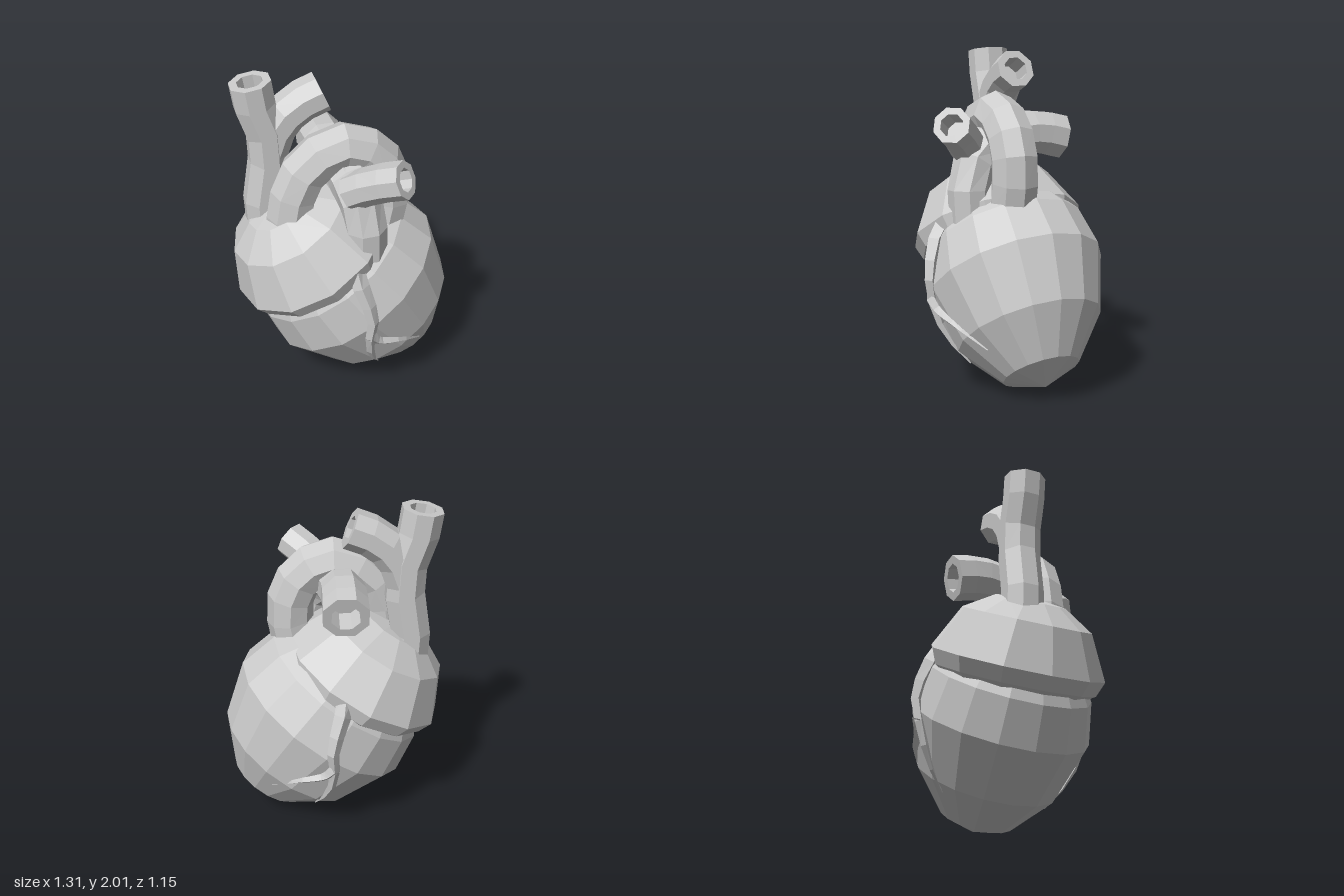
import * as THREE from 'three';

const material = new THREE.MeshStandardMaterial({ color: 0xcccccc, flatShading: true, side: THREE.DoubleSide });
const V = (p) => new THREE.Vector3(...p);

function addMesh(group, name, geometry) {
  const mesh = new THREE.Mesh(geometry, material);
  mesh.name = name;
  group.add(mesh);
  return mesh;
}

// Faceted tube through points; ref fixes the roll, hollow sinks a bore into the far end
function tube(points, radii, { sides = 8, ref = [0, 0, 1], turn = 0, steps = 6, hollow = false }) {
  const curve = new THREE.CatmullRomCurve3(points.map(V));
  const rings = [];
  for (let i = 0; i <= steps; i++) {
    const t = i / steps, k = t * (radii.length - 1), n = Math.min(Math.floor(k), radii.length - 2);
    const r = radii.length > 1 ? THREE.MathUtils.lerp(radii[n], radii[n + 1], k - n) : radii[0];
    rings.push({ c: curve.getPoint(t), T: curve.getTangent(t), r });
  }
  if (hollow) {
    const { c, T, r } = rings[steps];
    const deep = c.clone().addScaledVector(T, -0.14);
    rings.push({ c, T, r: r * 0.62 }, { c: deep, T, r: r * 0.62 }, { c: deep, T, r: 0 });
  }
  const pos = [], index = [];
  rings.forEach(({ c, T, r }, i) => {
    const N = V(ref).addScaledVector(T, -V(ref).dot(T)).normalize();
    const B = T.clone().cross(N);
    for (let j = 0; j < sides; j++) {
      const a = ((j + turn) / sides) * Math.PI * 2;
      const p = c.clone().addScaledVector(N, r * Math.cos(a)).addScaledVector(B, r * Math.sin(a));
      pos.push(p.x, p.y, p.z);
      if (i === 0) continue;
      const k = (j + 1) % sides, lo = (i - 1) * sides, hi = i * sides;
      index.push(lo + j, lo + k, hi + k, lo + j, hi + k, hi + j);
    }
  });
  const g = new THREE.BufferGeometry();
  g.setAttribute('position', new THREE.Float32BufferAttribute(pos, 3));
  g.setIndex(index);
  g.computeVertexNormals();
  return g;
}

// Ventricle profile [radius, distance from apex] along a leaning axis
const APEX = [0.47, 0.08], LEAN = 0.63, DEPTH = 0.9;
const PROFILE = [[0, 0], [0.25, 0.093], [0.476, 0.347], [0.594, 0.697], [0.54, 0.947], [0.36, 1.19], [0, 1.3]];

// Depth of the ventricle surface under a point seen from the front
function surfaceZ(x, y) {
  const dx = x - APEX[0], dy = y - APEX[1];
  const along = -dx * Math.sin(LEAN) + dy * Math.cos(LEAN);
  const across = dx * Math.cos(LEAN) + dy * Math.sin(LEAN);
  const i = Math.max(1, PROFILE.findIndex((p) => p[1] > along));
  const [r0, h0] = PROFILE[i - 1], [r1, h1] = PROFILE[i];
  const r = r0 + ((r1 - r0) * (along - h0)) / (h1 - h0);
  return DEPTH * Math.sqrt(Math.max(0, r * r - across * across));
}

const lathe = (profile, sides) =>
  new THREE.LatheGeometry(profile.map((p) => new THREE.Vector2(...p)), sides);

export function createModel() {
  const heart = new THREE.Group();
  heart.name = 'heart';

  // Main body, apex leaning to the model's left
  const ventricles = addMesh(heart, 'ventricles', lathe(PROFILE, 16));
  ventricles.position.set(...APEX, 0);
  ventricles.rotation.z = LEAN;
  ventricles.scale.z = DEPTH;

  // Upper cap with a bevelled rim overlapping the body
  const atria = addMesh(heart, 'atria',
    lathe([[0.4, -0.15], [0.49, -0.09], [0.525, 0], [0.39, 0.26], [0.21, 0.37], [0, 0.4]], 12));
  atria.position.set(-0.19, 0.92, 0);
  atria.rotation.z = 0.535;

  // Arch over the top
  addMesh(heart, 'aorticArch', tube(
    [[-0.33, 1.08, 0.09], [-0.32, 1.3, 0.09], [-0.22, 1.52, 0.09], [-0.01, 1.625, 0.09],
      [0.17, 1.53, 0.09], [0.25, 1.34, 0.09], [0.22, 1.1, 0.09]], [0.14], { steps: 10 }));

  // Upright vein and its side branch
  addMesh(heart, 'venaCava', tube(
    [[-0.44, 1.0, -0.085], [-0.45, 1.3, -0.085], [-0.40, 1.6, -0.085], [-0.47, 1.82, -0.085], [-0.498, 2.0, -0.085]],
    [0.123], { turn: 0.5, steps: 5, hollow: true }));
  addMesh(heart, 'venaCavaBranch', tube(
    [[-0.41, 1.57, -0.085], [-0.35, 1.72, -0.085], [-0.235, 1.83, -0.085], [-0.095, 1.89, -0.085]],
    [0.12], { turn: 0.5, steps: 4, hollow: true }));

  // Front trunk that passes under the arch to the back, with a forward branch
  addMesh(heart, 'pulmonaryTrunk', tube(
    [[0.07, 1.0, 0.29], [0.055, 1.3, 0.28], [0.0, 1.46, 0.14], [-0.05, 1.5, -0.05],
      [-0.06, 1.51, -0.2], [-0.06, 1.475, -0.365]],
    [0.125, 0.13, 0.14], { ref: [1, 0, 0], turn: 0.5, steps: 8, hollow: true }));
  addMesh(heart, 'pulmonaryBranch', tube(
    [[-0.01, 1.42, 0.26], [0.1, 1.515, 0.36], [0.235, 1.59, 0.475]],
    [0.11], { ref: [0, 1, 0], turn: 0.5, steps: 3, hollow: true }));

  // Forked surface vessels, repeated front and back
  const main = [[-0.03, 1.15], [-0.03, 0.98], [0.02, 0.82], [0.05, 0.68], [0.04, 0.5], [0.08, 0.33], [0.15, 0.18]];
  const fork = [[0.04, 0.57], [0.1, 0.5], [0.24, 0.45], [0.41, 0.33]];
  for (const [side, s] of [['front', 1], ['back', -1]]) {
    const onSurface = (path) => path.map(([x, y]) => [s > 0 ? x : x - 0.03, y, s * (surfaceZ(x, y) + 0.012)]);
    const options = { sides: 4, ref: [0, 0, s], steps: 8 };
    addMesh(heart, side + 'CoronaryVessel', tube(onSurface(main), [0.055, 0.05, 0.035, 0.025, 0.004], options));
    addMesh(heart, side + 'CoronaryFork', tube(onSurface(fork), [0.035, 0.024, 0.004], options));
  }
  return heart;
}
